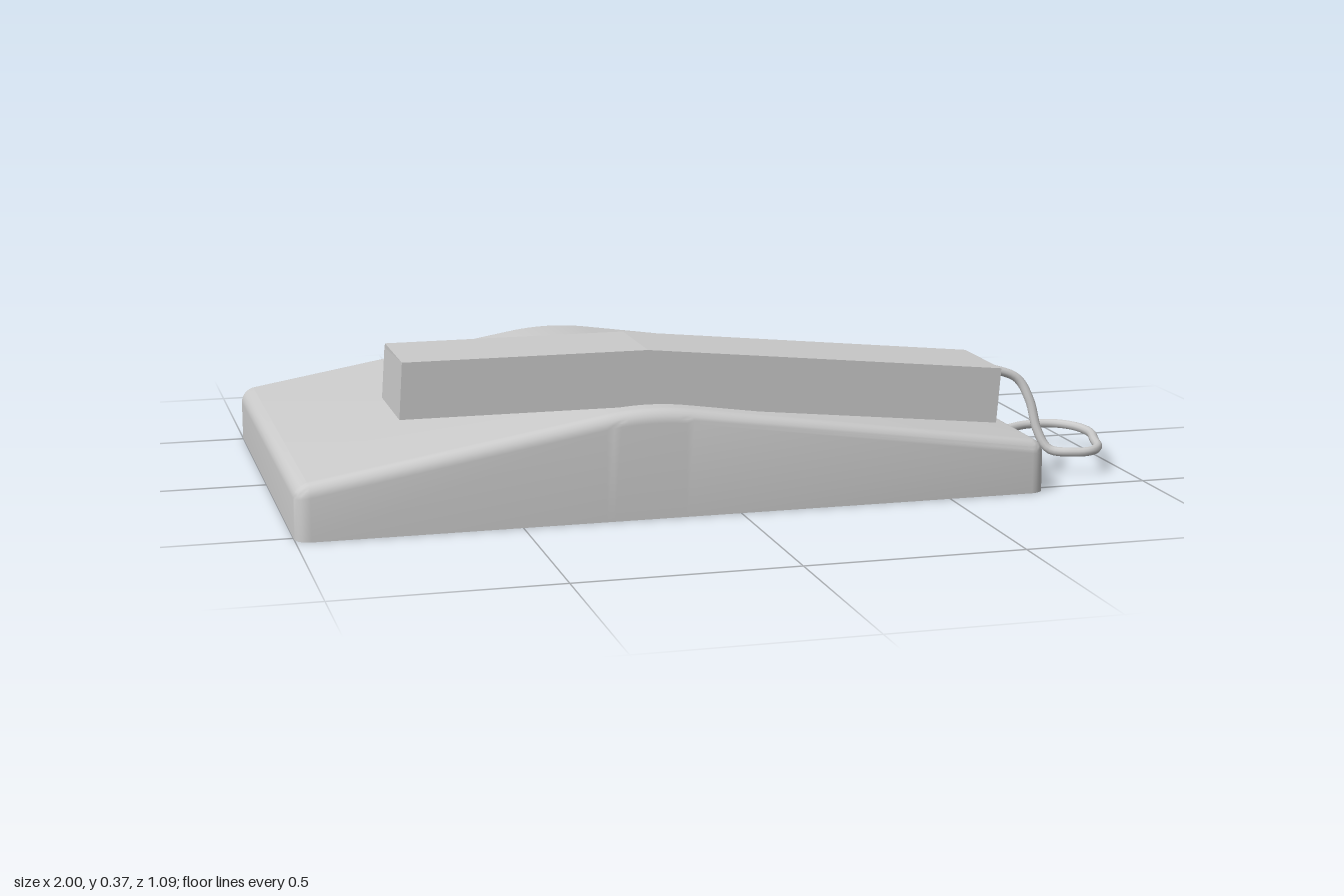
import * as THREE from 'three';
import { toCreasedNormals } from 'three/addons/utils/BufferGeometryUtils.js';

const material = new THREE.MeshStandardMaterial({ color: 0xcccccc });

function mesh(name, geometry) {
  const m = new THREE.Mesh(geometry, material);
  m.name = name;
  return m;
}

// Skins a stack of closed rings; each ring is an array of [x, y, z]
function skin(rings, extraFaces = []) {
  const n = rings[0].length;
  const index = [...extraFaces];
  for (let r = 0; r < rings.length - 1; r++) {
    for (let i = 0; i < n; i++) {
      const a = r * n + i, b = r * n + (i + 1) % n;
      index.push(a, b, b + n, a, b + n, a + n);
    }
  }
  const g = new THREE.BufferGeometry();
  g.setAttribute('position', new THREE.Float32BufferAttribute(rings.flat(2), 3));
  g.setIndex(index);
  return g;
}

// Height of the housing: two slopes with a softened ridge
const RIDGE = -0.21, PEAK = 0.256, UP = 0.17, DOWN = -0.144, BLEND = 0.1;
function surfaceY(x) {
  const d = x - RIDGE;
  if (d < -BLEND) return PEAK + UP * d;
  if (d > BLEND) return PEAK + DOWN * d;
  const t = d + BLEND;
  return PEAK - UP * BLEND + UP * t + (DOWN - UP) * t * t / (4 * BLEND);
}

function housingGeometry() {
  const x0 = -1, x1 = 0.735, halfZ = 0.545, corner = 0.034, fillet = 0.03;
  const steps = 5;

  // Front half of a rounded rectangle, left to right, shrunk by the inset
  function frontHalf(inset) {
    const r = corner - inset, pts = [];
    const arc = (cx, from) => {
      for (let i = 0; i <= steps; i++) {
        const a = from - (Math.PI / 2) * i / steps;
        pts.push([cx + r * Math.cos(a), halfZ - corner + r * Math.sin(a)]);
      }
    };
    arc(x0 + corner, Math.PI);
    for (let i = 0; i <= 12; i++) pts.push([RIDGE - BLEND + 2 * BLEND * i / 12, halfZ - inset]);
    arc(x1 - corner, Math.PI / 2);
    return pts;
  }

  function ring(inset, height) {
    const half = frontHalf(inset);
    const back = half.map(([x, z]) => [x, -z]).reverse();
    return [...half, ...back].map(([x, z]) => [x, height(x), z]);
  }

  const rings = [ring(0, () => 0)];
  for (let i = 0; i <= 6; i++) {
    const a = (Math.PI / 2) * i / 6;
    rings.push(ring(fillet * (1 - Math.cos(a)), x => surfaceY(x) - fillet * (1 - Math.sin(a))));
  }

  // Top and bottom are strips between matching front and back points
  const n = rings[0].length, top = (rings.length - 1) * n, caps = [];
  for (let i = 0; i < n / 2 - 1; i++) {
    const a = i, b = i + 1, c = n - 2 - i, d = n - 1 - i;
    caps.push(top + a, top + b, top + c, top + a, top + c, top + d);
    caps.push(a, c, b, a, d, c);
  }
  return toCreasedNormals(skin(rings, caps), 0.5);
}

function handsetGeometry() {
  // Stations along the handset: top and bottom points
  const stations = [
    { top: [-0.752, 0.372], bottom: [-0.76, 0.245] },
    { top: [-0.2, 0.372], bottom: [-0.21, 0.245] },
    { top: [0.643, 0.286], bottom: [0.633, 0.158] },
  ];
  const front = 0.482, back = 0.24, bevel = 0.011;
  const rings = stations.map(({ top: [tx, ty], bottom: [bx, by] }) => [
    [tx, ty, front],
    [tx, ty, back + bevel],
    [tx, ty - bevel, back],
    [bx, by, back],
    [bx, by, front],
  ]);
  const caps = [];
  const end = (rings.length - 1) * 5;
  for (let i = 1; i < 4; i++) {
    caps.push(0, i + 1, i, end, end + i, end + i + 1);
  }
  // Rings run front to back over the top, so flip the side faces outward
  const g = skin(rings, caps);
  const sign = outwardSign(g);
  if (sign < 0) {
    const idx = g.index.array;
    for (let i = 0; i < idx.length; i += 3) [idx[i + 1], idx[i + 2]] = [idx[i + 2], idx[i + 1]];
  }
  return toCreasedNormals(g, 0.05);
}

// Sign of the enclosed volume tells whether the faces point outward
function outwardSign(g) {
  const p = g.attributes.position, idx = g.index.array;
  const [a, b, c] = [0, 1, 2].map(() => new THREE.Vector3());
  let volume = 0;
  for (let i = 0; i < idx.length; i += 3) {
    a.fromBufferAttribute(p, idx[i]);
    b.fromBufferAttribute(p, idx[i + 1]);
    c.fromBufferAttribute(p, idx[i + 2]);
    volume += a.dot(b.cross(c));
  }
  return Math.sign(volume);
}

// Slanted key that follows the slope of the housing
function keyGeometry() {
  const g = new THREE.BoxGeometry(0.04, 0.03, 0.079);
  const p = g.attributes.position;
  for (let i = 0; i < p.count; i++) {
    const x = p.getX(i);
    p.setY(i, p.getY(i) + DOWN * x);
    p.setZ(i, p.getZ(i) + 0.42 * x);
  }
  g.computeVertexNormals();
  return g;
}

export function createModel() {
  const phone = new THREE.Group();
  phone.name = 'deskPhone';
  phone.add(mesh('housing', housingGeometry()));
  phone.add(mesh('handset', handsetGeometry()));

  // Keypad, four by four
  const keypad = new THREE.Group();
  keypad.name = 'keypad';
  const key = keyGeometry();
  for (const x of [0.13, 0.243, 0.355, 0.467]) {
    for (const z of [-0.334, -0.207, -0.09, 0.034]) {
      const k = mesh('key', key);
      k.position.set(x, surfaceY(x), z);
      keypad.add(k);
    }
  }
  phone.add(keypad);

  // Cord from the handset down and around into the housing
  const path = [
    [0.62, 0.268, 0.325], [0.68, 0.253, 0.328], [0.745, 0.227, 0.332],
    [0.772, 0.175, 0.347], [0.787, 0.105, 0.362], [0.81, 0.062, 0.38],
    [0.86, 0.056, 0.403], [0.905, 0.056, 0.405], [0.94, 0.056, 0.37],
    [0.963, 0.056, 0.3], [0.988, 0.056, 0.21], [0.975, 0.056, 0.135],
    [0.935, 0.056, 0.097], [0.87, 0.054, 0.088], [0.8, 0.05, 0.113],
    [0.72, 0.05, 0.155],
  ].map(p => new THREE.Vector3(...p));
  const curve = new THREE.CatmullRomCurve3(path);
  phone.add(mesh('cord', new THREE.TubeGeometry(curve, 90, 0.011, 10)));

  return phone;
}
